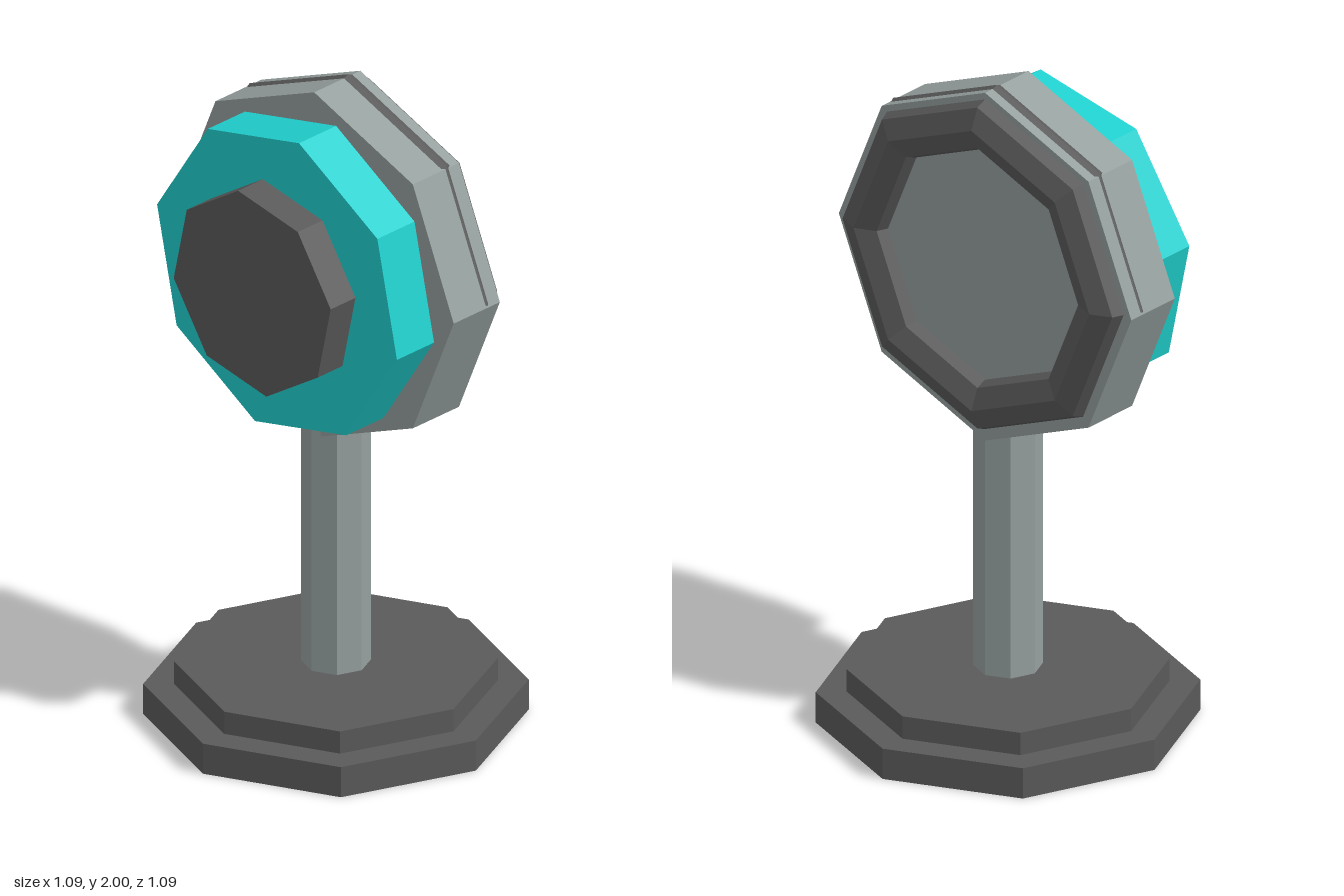
import * as THREE from 'three';

export function createModel() {
  const model = new THREE.Group();
  const mat = (name, color) => {
    const m = new THREE.MeshStandardMaterial({ color, flatShading: true });
    m.name = name;
    return m;
  };
  const dark = mat('dark grey', 0x5a5a5a);
  const light = mat('light grey', 0x95a09f);
  const teal = mat('turquoise', 0x20d0ce);
  const SIDES = 8;
  const HEAD_Y = 1.447;

  const add = (name, geometry, material, x, y) => {
    const mesh = new THREE.Mesh(geometry, material);
    mesh.name = name;
    mesh.position.set(x, y, 0);
    model.add(mesh);
  };

  // Upright octagonal prism between two heights
  const upright = (name, r, y0, y1, material) =>
    add(name, new THREE.CylinderGeometry(r, r, y1 - y0, SIDES), material, 0, (y0 + y1) / 2);

  // Octagonal prism lying along x, turned by some degrees about its axis
  const drum = (name, r, x0, x1, turn, material) => {
    const g = new THREE.CylinderGeometry(r, r, x1 - x0, SIDES);
    g.rotateZ(-Math.PI / 2).rotateX(THREE.MathUtils.degToRad(turn));
    add(name, g, material, (x0 + x1) / 2, HEAD_Y);
  };

  // Faceted ring around the x axis
  const ring = (name, r, tube, x, material) =>
    add(name, new THREE.TorusGeometry(r, tube, 8, SIDES).rotateY(Math.PI / 2), material, x, HEAD_Y + 0.008);

  // Stand
  upright('baseLower', 0.547, 0, 0.095, dark);
  upright('baseUpper', 0.46, 0.095, 0.165, dark);
  upright('post', 0.1, 0.165, 1.0, light);

  // Head
  drum('headBody', 0.546, -0.09, 0.1, 0, light);
  drum('rearHousing', 0.477, -0.243, -0.09, 10.4, teal);
  drum('rearCap', 0.312, -0.345, -0.243, -10.2, dark);
  ring('faceRim', 0.44, 0.09, 0.07, dark);
  ring('bodyBand', 0.52, 0.025, 0.05, dark);

  return model;
}
